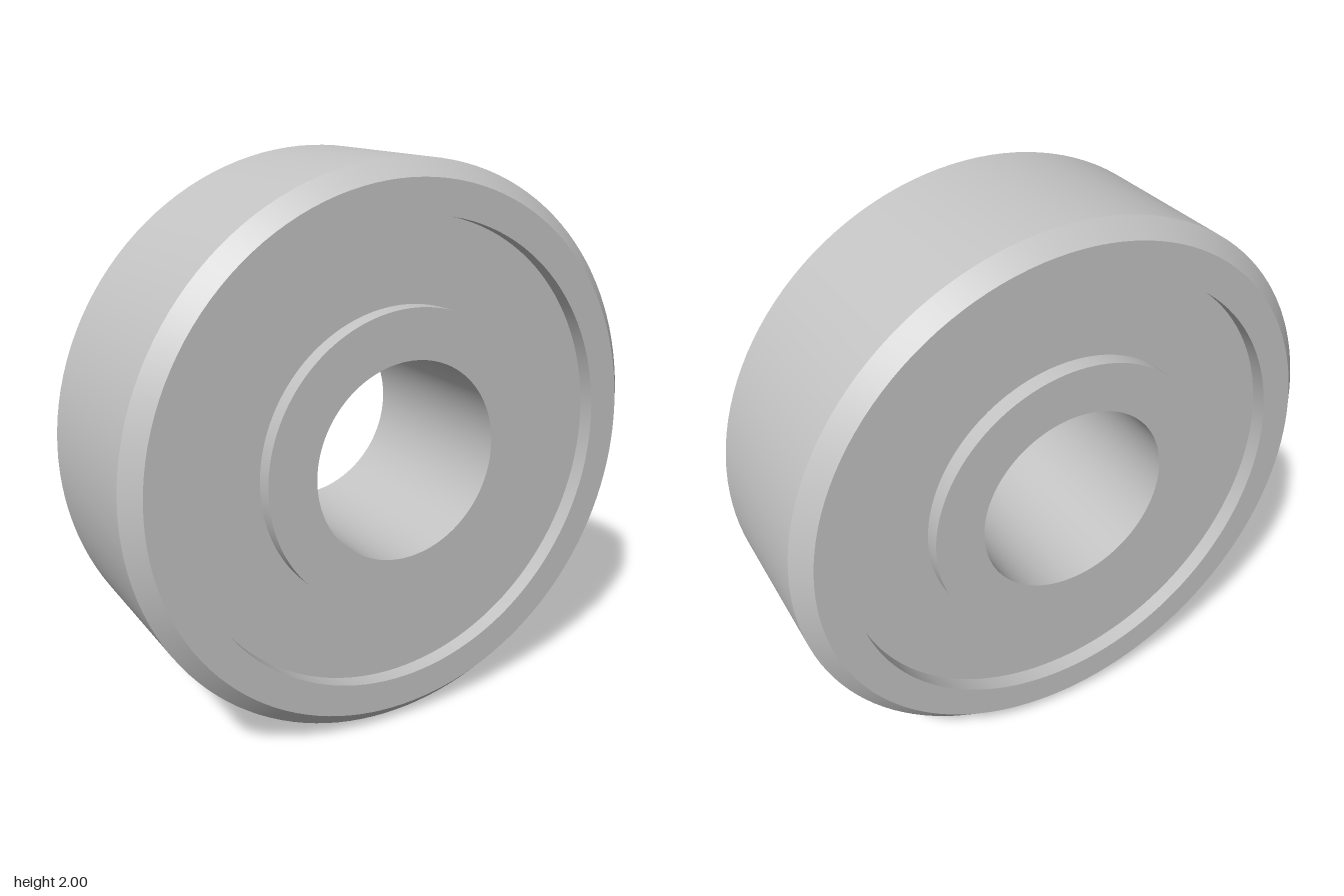
import * as THREE from 'three';
import { toCreasedNormals } from 'three/addons/utils/BufferGeometryUtils.js';

const SEGMENTS = 128;
const HALF_WIDTH = 0.353;   // half of the bearing's width
const SHIELD = 0.294;       // recessed shield plane, also where the chamfer ends
const BORE = 0.353, INNER_RIM = 0.529, OUTER_RIM = 0.824, CHAMFER = 0.941;

// Revolves a (radius, z) profile around the z axis, keeping its edges sharp
function revolve(name, profile, material) {
  const points = profile.map(([r, z]) => new THREE.Vector2(r, z));
  const lathe = new THREE.LatheGeometry(points, SEGMENTS).rotateX(Math.PI / 2);
  const mesh = new THREE.Mesh(toCreasedNormals(lathe, Math.PI / 6), material);
  mesh.name = name;
  return mesh;
}

export function createModel() {
  const steel = new THREE.MeshStandardMaterial({ color: 0xc4c4c4 });
  steel.name = 'steel';
  const bearing = new THREE.Group();
  bearing.name = 'bearing';

  // Outer race with chamfered edges and the wall of each recess
  bearing.add(revolve('outerRace', [
    [OUTER_RIM, -SHIELD], [OUTER_RIM, -HALF_WIDTH], [CHAMFER, -HALF_WIDTH], [1, -SHIELD],
    [1, SHIELD], [CHAMFER, HALF_WIDTH], [OUTER_RIM, HALF_WIDTH], [OUTER_RIM, SHIELD],
  ], steel));

  // Inner race with the bore through it
  bearing.add(revolve('innerRace', [
    [INNER_RIM, SHIELD], [INNER_RIM, HALF_WIDTH], [BORE, HALF_WIDTH],
    [BORE, -HALF_WIDTH], [INNER_RIM, -HALF_WIDTH], [INNER_RIM, -SHIELD],
  ], steel));

  // Flat recessed shields on the front and back
  for (const side of [1, -1]) {
    const shield = new THREE.Mesh(new THREE.RingGeometry(INNER_RIM, OUTER_RIM, SEGMENTS), steel);
    shield.name = side > 0 ? 'frontShield' : 'backShield';
    shield.position.z = side * SHIELD;
    if (side < 0) shield.rotation.y = Math.PI;
    bearing.add(shield);
  }

  bearing.position.y = 1;
  const model = new THREE.Group();
  model.add(bearing);
  return model;
}
